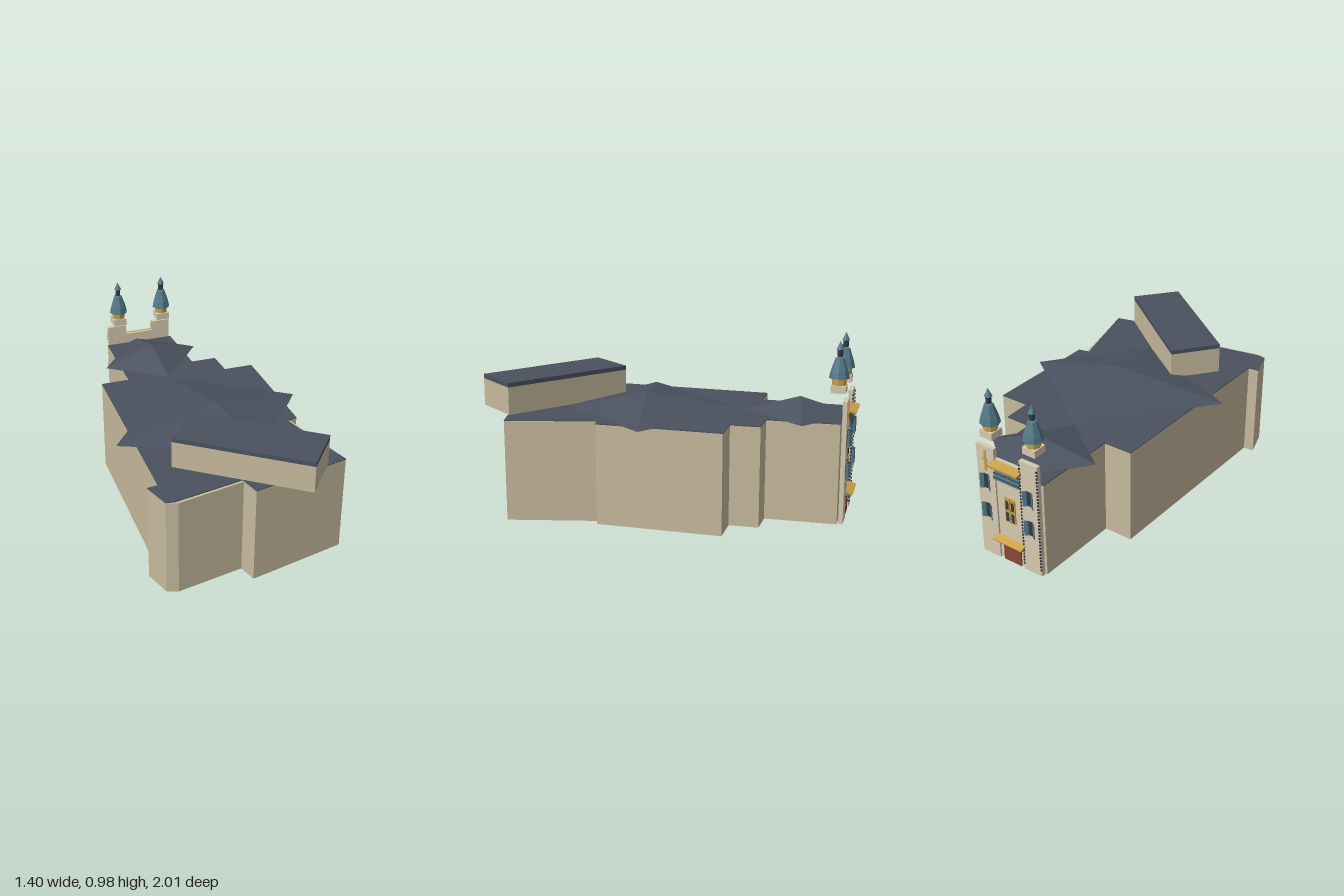
import * as THREE from 'three';
import { ConvexGeometry } from 'three/addons/geometries/ConvexGeometry.js';

const mat = (color) => new THREE.MeshStandardMaterial({ color, flatShading: true, side: THREE.DoubleSide });
const WALL = mat(0xc6ba9d), PLASTER = mat(0xd6cab0), SLATE = mat(0x4a525f), TEAL = mat(0x52798a),
  GOLD = mat(0xc9a146), DOOR = mat(0x8c4638), DARK = mat(0x343a42);

function add(parent, name, geometry, material, x = 0, y = 0, z = 0) {
  const m = new THREE.Mesh(geometry, material);
  m.name = name;
  m.position.set(x, y, z);
  parent.add(m);
  return m;
}

const box = (parent, name, material, w, h, d, x, y, z) =>
  add(parent, name, new THREE.BoxGeometry(w, h, d), material, x, y, z);

// Upright prism over a ground plan given as [x, z] corners
function prism(plan, y0, y1) {
  const shape = new THREE.Shape(plan.map(([x, z]) => new THREE.Vector2(x, -z)));
  return new THREE.ExtrudeGeometry(shape, { depth: y1 - y0, bevelEnabled: false })
    .rotateX(-Math.PI / 2).translate(0, y0, 0);
}

// Four-sided hipped roof rising from eave corners to one apex
const hip = (corners, apex) => new ConvexGeometry(
  [...corners.map(([x, z]) => new THREE.Vector3(x, 0.55, z)), new THREE.Vector3(...apex)]);

// Ground plans
const body = [
  [0.257, -0.984], [0.04, -0.55], [-0.108, -0.62], [-0.62, 0.397], [-0.675, 0.376], [-0.7, 0.535],
  [-0.655, 0.58], [-0.285, 0.675], [-0.305, 0.78], [0.25, 0.905], [0.355, 0.43], [0.4, 0.44],
  [0.696, -0.17], [0.542, -0.243], [0.606, -0.39], [0.474, -0.455], [0.63, -0.81],
];
const roof = body.map(([x, z]) => [x, z]);
roof[6] = [-0.66, 0.562];
roof[7] = [-0.28, 0.662];
roof[10] = [0.338, 0.427];
const annex = [[-0.452, 0.323], [-0.193, 0.195], [0.143, 0.873], [-0.114, 0.995]];

// Turret: block, gold drum, bell-shaped spire and small lantern
function turret(x) {
  const g = new THREE.Group();
  g.name = 'turret';
  g.position.set(x, 0, -0.041);
  box(g, 'turretBase', PLASTER, 0.08, 0.04, 0.08, 0, 0.725, 0);
  add(g, 'turretDrum', new THREE.CylinderGeometry(0.038, 0.038, 0.036, 8), GOLD, 0, 0.763, 0);
  const spire = [[0, 0.778], [0.054, 0.781], [0.047, 0.815], [0.029, 0.87], [0.024, 0.887], [0, 0.896]];
  add(g, 'turretSpire', new THREE.LatheGeometry(spire.map((p) => new THREE.Vector2(...p)), 8), TEAL);
  add(g, 'lantern', new THREE.CylinderGeometry(0.015, 0.015, 0.04, 8), DARK, 0, 0.913, 0);
  add(g, 'lanternCap', new THREE.ConeGeometry(0.021, 0.045, 8), TEAL, 0, 0.953, 0);
  return g;
}

// Window with a pair of half-open shutters
function shutteredWindow(x, y) {
  const g = new THREE.Group();
  g.name = 'shutteredWindow';
  g.position.set(x, y, 0.013);
  box(g, 'windowPane', DARK, 0.032, 0.085, 0.004, 0, 0, 0);
  for (const s of [-1, 1]) {
    const leaf = box(g, 'shutter', TEAL, 0.022, 0.09, 0.004, s * 0.024, 0, 0.009);
    leaf.rotation.y = -s * 0.6;
  }
  return g;
}

function entranceFront() {
  const g = new THREE.Group();
  g.name = 'entranceFront';
  g.position.set(0.4525, 0, -0.914);
  g.rotation.y = Math.PI - 0.4363;

  box(g, 'centreWall', PLASTER, 0.2, 0.61, 0.016, 0, 0.305, -0.006);
  for (const s of [-1, 1]) {
    box(g, 'towerWall', PLASTER, 0.115, 0.667, 0.024, s * 0.14, 0.3335, 0);
    g.add(turret(s * 0.138));
    for (const y of [0.28, 0.46]) g.add(shutteredWindow(s * 0.14, y));
  }

  // Door and the sloped canopy over it
  box(g, 'door', DOOR, 0.115, 0.12, 0.008, 0, 0.06, 0.005);
  const canopy = box(g, 'canopy', GOLD, 0.19, 0.008, 0.045, 0, 0.142, 0.028);
  canopy.rotation.x = 0.35;
  box(g, 'canopyUnderside', TEAL, 0.18, 0.01, 0.035, 0, 0.128, 0.022);

  // Central double window
  for (const s of [-1, 1]) {
    box(g, 'windowFrame', GOLD, 0.032, 0.15, 0.006, s * 0.018, 0.325, 0.004);
    for (const y of [0.285, 0.355]) box(g, 'windowPane', DARK, 0.018, 0.052, 0.004, s * 0.018, y, 0.007);
  }

  // Small pent roof with tile courses, closed by a cornice
  const pent = box(g, 'pentRoof', TEAL, 0.165, 0.08, 0.008, 0, 0.54, 0.014);
  pent.rotation.x = -0.2;
  for (let i = 0; i < 3; i++) box(g, 'tileCourse', DARK, 0.166, 0.004, 0.006, 0, 0.515 + i * 0.022, 0.023 - i * 0.004);
  const cornice = box(g, 'cornice', GOLD, 0.19, 0.012, 0.055, 0, 0.592, 0.024);
  cornice.rotation.x = 0.2;

  // Ornament on one tower, toothed corner strips on the other
  box(g, 'ornamentRod', GOLD, 0.012, 0.12, 0.005, -0.14, 0.585, 0.013);
  box(g, 'ornamentArm', GOLD, 0.04, 0.01, 0.005, -0.14, 0.59, 0.013);
  for (const x of [0.085, 0.194]) {
    for (let y = 0.04; y < 0.66; y += 0.02) box(g, 'cornerTooth', DARK, 0.007, 0.01, 0.008, x, y, 0.013);
  }
  return g;
}

export function createModel() {
  const g = new THREE.Group();
  g.name = 'building';
  add(g, 'mainWalls', prism(body, 0, 0.547), WALL);
  add(g, 'flatRoof', prism(roof, 0.547, 0.552), SLATE);
  add(g, 'mainHipRoof', hip([[-0.515, -0.037], [0.23, -0.41], [0.595, 0.249], [-0.01, 0.555]], [0.09, 0.638, 0.12]), SLATE);
  add(g, 'frontHipRoof', hip([[0.045, -0.757], [0.45, -0.96], [0.632, -0.6], [0.23, -0.4]], [0.34, 0.638, -0.68]), SLATE);
  add(g, 'annexWalls', prism(annex, 0.552, 0.702), WALL);
  add(g, 'annexRoof', prism(annex, 0.702, 0.726), SLATE);
  g.add(entranceFront());
  return g;
}
